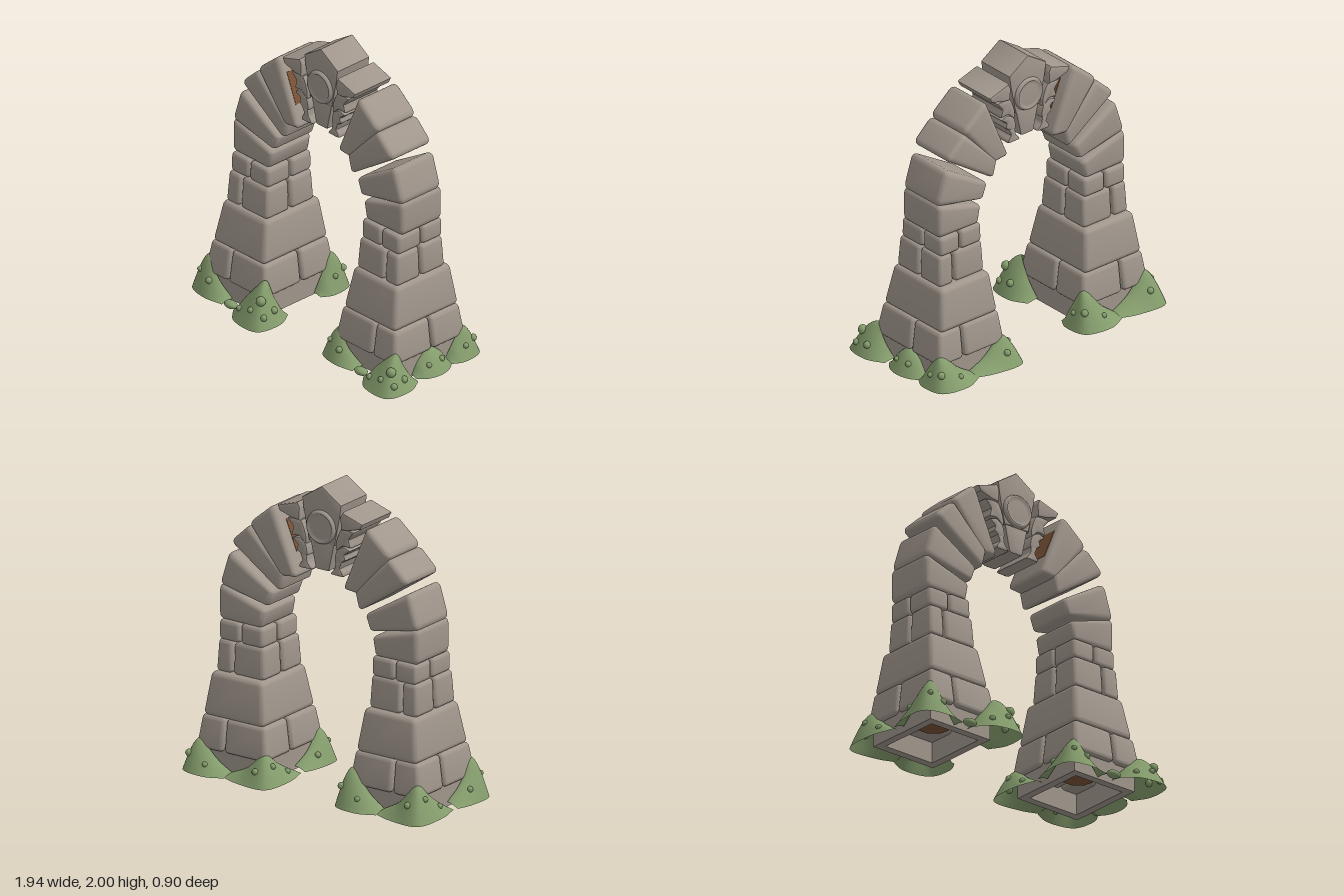
import * as THREE from 'three';
import { mergeVertices, toCreasedNormals } from 'three/addons/utils/BufferGeometryUtils.js';
import { RoundedBoxGeometry } from 'three/addons/geometries/RoundedBoxGeometry.js';

const AXIS = -0.017; // x of the arch's mirror plane

export function createModel() {
  const model = new THREE.Group();
  model.name = 'stoneArch';
  const stoneMat = new THREE.MeshStandardMaterial({ color: 0xa0968c });
  stoneMat.name = 'stone';
  const mossMat = new THREE.MeshStandardMaterial({ color: 0x849c6c, side: THREE.DoubleSide });
  mossMat.name = 'moss';
  const earthMat = new THREE.MeshStandardMaterial({ color: 0x7a5236 });
  earthMat.name = 'earth';

  const add = (name, geometry, material = stoneMat) => {
    const mesh = new THREE.Mesh(geometry, material);
    mesh.name = name;
    model.add(mesh);
    return mesh;
  };

  // Rounded block warped to a quad [bl, br, tr, tl]; z = [back, front] at bottom and at top
  function stone(name, [bl, br, tr, tl], zBottom, zTop = zBottom, radius = 0.035) {
    const dist = (a, b) => Math.hypot(a[0] - b[0], a[1] - b[1]);
    const w = (dist(bl, br) + dist(tl, tr)) / 2;
    const h = (dist(bl, tl) + dist(br, tr)) / 2;
    const d = zBottom[1] - zBottom[0];
    let g = new RoundedBoxGeometry(w, h, d, 3, Math.min(radius, w * 0.4, h * 0.4, d * 0.4));
    const p = g.attributes.position;
    const mix = THREE.MathUtils.lerp;
    for (let i = 0; i < p.count; i++) {
      const u = p.getX(i) / w + 0.5, v = p.getY(i) / h + 0.5, t = p.getZ(i) / d + 0.5;
      p.setXYZ(i,
        mix(mix(bl[0], br[0], u), mix(tl[0], tr[0], u), v),
        mix(mix(bl[1], br[1], u), mix(tl[1], tr[1], u), v),
        mix(mix(zBottom[0], zBottom[1], t), mix(zTop[0], zTop[1], t), v));
    }
    g.deleteAttribute('normal');
    g.deleteAttribute('uv');
    g = mergeVertices(g, 1e-4);
    return add(name, toCreasedNormals(g, 0.7));
  }

  // Bevelled plate cut from an outline; smooth outlines use a closed spline
  function slab(name, points, z0, z1, bevel, smooth = false, material = stoneMat) {
    let outline = points.map(([x, y]) => new THREE.Vector2(x, y));
    if (smooth) {
      const curve = new THREE.CatmullRomCurve3(points.map(([x, y]) => new THREE.Vector3(x, y, 0)), true, 'catmullrom', 0.35);
      outline = curve.getPoints(points.length * 4).slice(0, -1).map(v => new THREE.Vector2(v.x, v.y));
    }
    const g = new THREE.ExtrudeGeometry(new THREE.Shape(outline), {
      depth: z1 - z0 - 2 * bevel, bevelEnabled: bevel > 0, bevelThickness: bevel,
      bevelSize: bevel, bevelOffset: -bevel, bevelSegments: 2,
    });
    g.translate(0, 0, z0 + bevel);
    return add(name, toCreasedNormals(g, 0.6), material);
  }

  // Quads and outlines are written for the -x half; the other half is mirrored
  const place = (points, s) => s < 0 ? points
    : points.map(([x, y]) => [2 * AXIS - x, y]);
  const placeQuad = (q, s) => {
    const [a, b, c, d] = place(q, s);
    return s < 0 ? [a, b, c, d] : [b, a, d, c];
  };

  // Pillar courses: y range, half widths, z ranges, optional seams [outward, z, gap]
  const courses = [
    { y: [0.14, 0.36], w: [0.272, 0.242], z: [[-0.335, 0.288], [-0.305, 0.25]], seam: [0.06, -0.05, 0.005] },
    { y: [0.355, 0.64], w: [0.238, 0.198], z: [[-0.312, 0.252], [-0.272, 0.195]] },
    { y: [0.635, 0.85], w: [0.186, 0.176], z: [[-0.238, 0.182], [-0.225, 0.165]], seam: [0.06, -0.03, 0.006] },
    { y: [0.845, 0.98], w: [0.17, 0.17], z: [[-0.23, 0.155], [-0.228, 0.152]], seam: [0.005, -0.05, 0.003] },
  ];
  const wedges = [
    { q: [[-0.787, 0.975], [-0.455, 0.975], [-0.43, 1.1], [-0.787, 1.215]], z: [-0.222, 0.135] },
    { q: [[-0.79, 1.2], [-0.41, 1.125], [-0.37, 1.23], [-0.715, 1.44]], z: [-0.215, 0.135] },
    { q: [[-0.71, 1.5], [-0.32, 1.24], [-0.29, 1.37], [-0.56, 1.64]], z: [-0.213, 0.137] },
    { q: [[-0.57, 1.65], [-0.315, 1.35], [-0.195, 1.36], [-0.38, 1.81]], z: [-0.21, 0.132] },
  ];
  // Carved flank pieces beside the keystone
  const wing = [[-0.348, 1.815], [-0.33, 1.778], [-0.235, 1.75], [-0.178, 1.745], [-0.172, 1.83], [-0.19, 1.865]];
  const curls = [
    [[-0.275, 1.745], [-0.17, 1.745], [-0.13, 1.65], [-0.135, 1.595], [-0.185, 1.635], [-0.245, 1.635], [-0.235, 1.69]],
    [[-0.24, 1.615], [-0.19, 1.635], [-0.135, 1.6], [-0.12, 1.53], [-0.15, 1.51], [-0.205, 1.545], [-0.2, 1.58]],
    [[-0.18, 1.53], [-0.13, 1.53], [-0.12, 1.48], [-0.09, 1.435], [-0.18, 1.43], [-0.185, 1.455], [-0.165, 1.485]],
  ];

  for (const s of [-1, 1]) {
    const side = s < 0 ? 'right' : 'left';
    const cx = AXIS + s * 0.592;

    // Hollow foundation, open underneath
    const rect = (C, w, d) => {
      const pts = [[-w, -d], [w, -d], [w, d], [-w, d]].map(([x, y]) => new THREE.Vector2(x, y));
      return new C(pts);
    };
    const ring = rect(THREE.Shape, 0.245, 0.275);
    ring.holes.push(rect(THREE.Path, 0.19, 0.22));
    const footing = new THREE.ExtrudeGeometry(ring, { depth: 0.17, bevelEnabled: false });
    footing.rotateX(-Math.PI / 2).translate(cx, 0, -0.025);
    add(side + 'Foundation', footing);
    const patch = add(side + 'EarthPatch', new THREE.CylinderGeometry(0.11, 0.11, 0.008, 9), earthMat);
    patch.position.set(cx + 0.03, 0.134, -0.04);

    // Courses of whole or split blocks
    for (const { y, w, z, seam } of courses) {
      const span = (lo, hi) => [cx + s * lo, cx + s * hi].sort((a, b) => a - b);
      const block = (b, t, zb, zt) =>
        stone(side + 'PillarStone', [[b[0], y[0]], [b[1], y[0]], [t[1], y[1]], [t[0], y[1]]], zb, zt, seam ? 0.028 : 0.035);
      if (!seam) { block(span(-w[0], w[0]), span(-w[1], w[1]), z[0], z[1]); continue; }
      const [o, zs, gap] = seam;
      for (const outer of [true, false]) for (const front of [true, false]) {
        const xs = hw => outer ? span(o + gap, hw) : span(-hw, o - gap);
        const zr = r => front ? [zs + gap, r[1]] : [r[0], zs - gap];
        block(xs(w[0]), xs(w[1]), zr(z[0]), zr(z[1]));
      }
    }

    // Arch wedges, earth in the last joint, carved flanks
    wedges.forEach(({ q, z }) => stone(side + 'ArchStone', placeQuad(q, s), z));
    const joint = [[-0.34, 1.7], [-0.258, 1.5], [-0.251, 1.503], [-0.333, 1.703]];
    slab(side + 'JointEarth', place(joint, s), -0.12, 0.09, 0, false, earthMat);
    slab(side + 'Wing', place(wing, s), -0.2, 0.12, 0.014);
    curls.forEach(c => slab(side + 'Curl', place(c, s), -0.19, 0.11, 0.016, true));
  }

  // Keystone: gabled head, tapered foot, medallion on both faces
  const key = pts => pts.map(([x, y]) => [AXIS + x, y]);
  slab('keystoneHead', key([[0, 2], [-0.153, 1.9], [-0.142, 1.82], [-0.1, 1.62], [0.1, 1.62], [0.142, 1.82], [0.153, 1.9]]), -0.18, 0.1, 0.012);
  slab('keystoneFoot', key([[-0.095, 1.63], [-0.055, 1.45], [-0.04, 1.44], [0.04, 1.44], [0.055, 1.45], [0.095, 1.63]]), -0.175, 0.095, 0.016);
  for (const f of [1, -1]) {
    const profile = [[0, 0.016], [0.07, 0.016], [0.085, 0.012], [0.092, 0.022], [0.104, 0.02], [0.112, 0]];
    const disc = new THREE.LatheGeometry(profile.map(([r, h]) => new THREE.Vector2(r, h)).reverse(), 32);
    disc.rotateX(f * Math.PI / 2).translate(AXIS, 1.73, f > 0 ? 0.099 : -0.179);
    add('medallion', disc);
  }

  // Moss skirts: rows of [inner x, inner z, outer x, outer z, height]
  function moss(name, rows, dx, scale, bumps) {
    const inner = new THREE.CatmullRomCurve3(rows.map(r => new THREE.Vector3(r[0] + dx, r[4] * scale, r[1])));
    const outer = new THREE.CatmullRomCurve3(rows.map(r => new THREE.Vector3(r[2] + dx, 0, r[3])));
    const at = (t, k) => {
      const a = outer.getPoint(t), b = inner.getPoint(t);
      const y = Math.max(b.y, 0.004) * Math.sin(k * Math.PI / 2);
      return a.lerp(b, k).setY(y + 0.003);
    };
    const n = 28, m = 8, pos = [], idx = [];
    for (let i = 0; i <= n; i++) for (let j = 0; j <= m; j++) pos.push(...at(i / n, j / m).toArray());
    for (let i = 0; i < n; i++) for (let j = 0; j < m; j++) {
      const a = i * (m + 1) + j, b = a + m + 1;
      idx.push(a, b, a + 1, b, b + 1, a + 1);
    }
    const g = new THREE.BufferGeometry();
    g.setAttribute('position', new THREE.Float32BufferAttribute(pos, 3));
    g.setIndex(idx);
    g.computeVertexNormals();
    add(name, g, mossMat);
    for (const [t, k, r] of bumps) {
      const bump = add('mossTuft', new THREE.SphereGeometry(r, 12, 8), mossMat);
      bump.position.copy(at(t, k));
    }
  }
  const skirts = [
    ['mossBackRight', [[-0.6, -0.31, -0.6, -0.39, 0.02], [-0.72, -0.31, -0.72, -0.43, 0.09], [-0.85, -0.3, -0.94, -0.43, 0.23], [-0.86, -0.2, -0.97, -0.2, 0.13], [-0.86, -0.05, -0.93, -0.03, 0.02]],
      [[0.4, 0.4, 0.022], [0.6, 0.5, 0.02], [0.8, 0.4, 0.02]]],
    ['mossBackLeft', [[-0.6, -0.31, -0.6, -0.4, 0.02], [-0.5, -0.32, -0.48, -0.45, 0.1], [-0.36, -0.31, -0.29, -0.41, 0.25], [-0.35, -0.22, -0.26, -0.25, 0.12], [-0.36, -0.17, -0.3, -0.17, 0.01]],
      [[0.3, 0.4, 0.018], [0.5, 0.35, 0.024], [0.65, 0.4, 0.018]]],
    ['mossFrontRight', [[-0.86, 0, -0.94, 0, 0.03], [-0.87, 0.12, -0.97, 0.1, 0.12], [-0.85, 0.25, -0.96, 0.31, 0.26], [-0.77, 0.27, -0.81, 0.36, 0.13], [-0.66, 0.25, -0.66, 0.34, 0.01]],
      [[0.3, 0.4, 0.02], [0.55, 0.4, 0.018], [0.72, 0.5, 0.022]]],
    ['mossFrontLeft', [[-0.56, 0.26, -0.56, 0.34, 0.01], [-0.45, 0.27, -0.46, 0.43, 0.16], [-0.345, 0.26, -0.25, 0.43, 0.27], [-0.34, 0.2, -0.22, 0.25, 0.14], [-0.36, 0.13, -0.28, 0.13, 0.01]],
      [[0.25, 0.3, 0.02], [0.4, 0.3, 0.02], [0.5, 0.45, 0.032], [0.56, 0.2, 0.022], [0.68, 0.35, 0.024]]],
  ];
  for (const [dx, scale] of [[0, 1], [1.18, 0.82]]) {
    for (const [name, rows, bumps] of skirts) moss(name, rows, dx, scale, bumps);
    const clump = add('mossClump', new THREE.SphereGeometry(0.05, 16, 10), mossMat);
    clump.scale.set(1, 0.5, 0.7);
    clump.position.set(-0.595 + dx, 0.025, 0.325);
  }
  moss('mossOuterSide', [[0.81, -0.18, 0.87, -0.19, 0.01], [0.82, -0.11, 0.92, -0.12, 0.11], [0.82, -0.03, 0.94, -0.03, 0.15], [0.82, 0.06, 0.92, 0.06, 0.09], [0.81, 0.11, 0.87, 0.12, 0.01]],
    0, 1, [[0.35, 0.4, 0.02], [0.65, 0.4, 0.018]]);

  return model;
}
